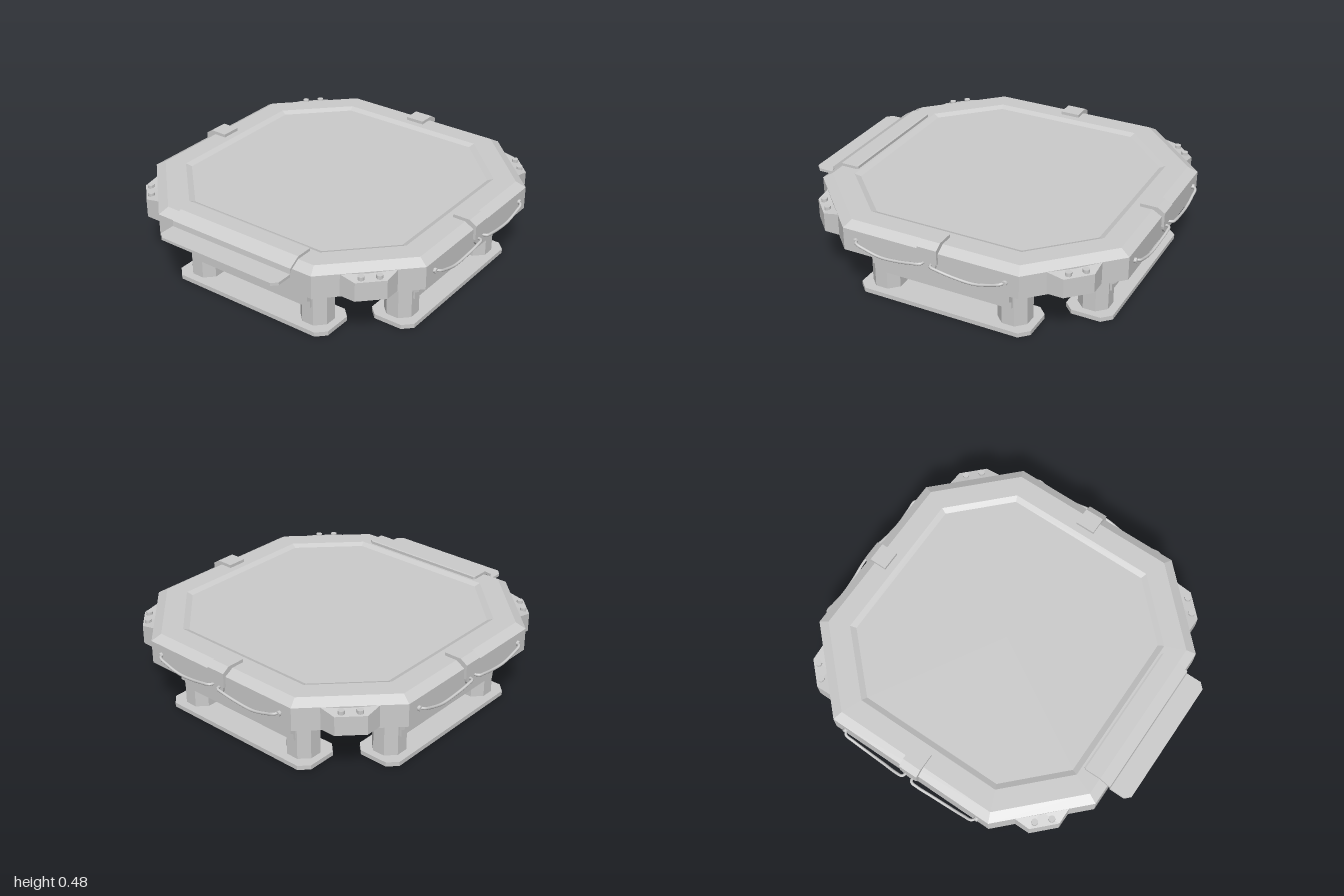
import * as THREE from 'three';

const material = new THREE.MeshStandardMaterial({ color: 0xcccccc, flatShading: true });
const smooth = new THREE.MeshStandardMaterial({ color: 0xcccccc });

function add(parent, name, geometry, mat = material) {
  const mesh = new THREE.Mesh(geometry, mat);
  mesh.name = name;
  parent.add(mesh);
  return mesh;
}

// Skin over a stack of convex rings, both ends closed at their centres.
function loft(rings) {
  const n = rings[0].length;
  const mean = (r) => {
    const c = r.reduce((s, p) => s.map((v, k) => v + p[k] / n), [0, 0, 0]);
    return r.map(() => c);
  };
  const all = [mean(rings[0]), ...rings, mean(rings[rings.length - 1])];
  const index = [];
  for (let r = 0; r < all.length - 1; r++) {
    for (let i = 0; i < n; i++) {
      const j = (i + 1) % n;
      const a = r * n + i, b = r * n + j, c = a + n, d = b + n;
      if (r > 0) index.push(a, b, d); // no first triangle on the collapsed start
      if (r < all.length - 2) index.push(a, d, c); // nor second on the collapsed end
    }
  }
  const g = new THREE.BufferGeometry();
  g.setAttribute('position', new THREE.Float32BufferAttribute(all.flat(2), 3));
  g.setIndex(index);
  const out = g.toNonIndexed();
  out.computeVertexNormals();
  return out;
}

// Octagon with half size h and half side s at height y.
const octagon = (h, s, y) => [
  [h, s], [h, -s], [s, -h], [-s, -h], [-h, -s], [-h, s], [-s, h], [s, h],
].map(([x, z]) => [x, y, z]);

// Outline in (z, y), extruded along x and centred.
function extrudeX(points, width) {
  const shape = new THREE.Shape(points.map((p) => new THREE.Vector2(...p)));
  return new THREE.ExtrudeGeometry(shape, { depth: width, bevelEnabled: false })
    .translate(0, 0, -width / 2).rotateY(-Math.PI / 2);
}

// Outline in (x, z) seen from above, as a slab from y0 to y1.
function slab(points, y0, y1) {
  const shape = new THREE.Shape(points.map(([x, z]) => new THREE.Vector2(x, -z)));
  return new THREE.ExtrudeGeometry(shape, { depth: y1 - y0, bevelEnabled: false })
    .rotateX(-Math.PI / 2).translate(0, y0, 0);
}

// Two posts joined by a rail on a long foot.
function addSupport(side) {
  const L = 0.505, c = 0.05, zi = 0.557, zo = 0.822;
  add(side, 'foot', slab([
    [-L + c, zo], [L - c, zo], [L, zo - c], [L, zi + c],
    [L - c, zi], [-L + c, zi], [-L, zi + c], [-L, zo - c],
  ], 0, 0.025));
  for (const sx of [-1, 1]) {
    const post = add(side, 'post', new THREE.CylinderGeometry(0.093, 0.093, 0.255, 8).rotateY(Math.PI / 8));
    post.position.set(sx * 0.378, 0.1475, 0.69);
  }
  add(side, 'rail', extrudeX([
    [0.73, 0.135], [0.787, 0.135], [0.787, 0.175], [0.81, 0.19], [0.81, 0.23], [0.73, 0.23],
  ], 0.805));
}

// Edge clamp with a hook below it and a hanging cable to each side.
function addClamp(side) {
  add(side, 'clamp', extrudeX([
    [0.785, 0.455], [0.785, 0.478], [0.885, 0.478], [0.925, 0.452],
    [0.925, 0.37], [0.89, 0.37], [0.89, 0.43],
  ], 0.112));
  const hook = add(side, 'hookPlate', new THREE.CylinderGeometry(0.05, 0.05, 0.03, 16).rotateX(Math.PI / 2));
  hook.position.set(0, 0.368, 0.908);
  for (const sx of [-1, 1]) {
    const path = [
      [0.02, 0.365, 0.91], [0.03, 0.366, 0.944], [0.07, 0.36, 0.948], [0.16, 0.342, 0.942],
      [0.27, 0.334, 0.937], [0.36, 0.354, 0.936], [0.415, 0.372, 0.932], [0.43, 0.374, 0.9],
    ].map(([x, y, z]) => new THREE.Vector3(sx * x, y, z));
    add(side, 'cable', new THREE.TubeGeometry(new THREE.CatmullRomCurve3(path), 40, 0.008, 8), smooth);
    const eye = add(side, 'cableEye', new THREE.CylinderGeometry(0.014, 0.014, 0.025, 10).rotateX(Math.PI / 2));
    eye.position.set(sx * 0.43, 0.374, 0.912);
  }
}

// Bolted bracket on a slanted corner, built facing +z and blending into the deck.
function addBracket(corner) {
  const ring = (y, inner, outer, z, yEdge = y) => [
    [inner, yEdge, 0.9], [-inner, yEdge, 0.9], [-inner, yEdge, Math.min(z, 0.997)], [-outer, y, z],
    [outer, y, z], [inner, yEdge, Math.min(z, 0.997)],
  ];
  add(corner, 'bracket', loft([
    ring(0.272, 0.1, 0.07, 0.925), ring(0.305, 0.148, 0.081, 1.064),
    ring(0.412, 0.148, 0.081, 1.064, 0.43),
  ]));
  for (const sx of [-1, 1]) {
    const bolt = add(corner, 'bolt', new THREE.CylinderGeometry(0.018, 0.018, 0.024, 10));
    bolt.position.set(sx * 0.046, 0.422, 1.036);
  }
}

export function createModel() {
  const model = new THREE.Group();
  model.name = 'platform';
  const base = new THREE.Group();
  base.name = 'base';
  base.position.z = -0.045;
  model.add(base);

  // Deck shell: [inset from the edge, height], from the hollow underside to the sunken top.
  const profile = [
    [0.197, 0.434], [0.165, 0.448], [0.115, 0.448], [0.11, 0.27], [0.085, 0.27],
    [0, 0.3], [0, 0.43], [0.052, 0.46], [0.165, 0.46], [0.197, 0.446],
  ];
  add(base, 'deck', loft(profile.map(([d, y]) => octagon(0.91 - d, 0.505 - d * 0.414, y))));

  for (let k = 0; k < 4; k++) {
    const side = new THREE.Group();
    side.name = 'side';
    side.rotation.y = k * Math.PI / 2;
    addSupport(side);
    if (k > 0) addClamp(side);
    base.add(side);

    const corner = new THREE.Group();
    corner.name = 'corner';
    corner.rotation.y = (k + 0.5) * Math.PI / 2;
    addBracket(corner);
    base.add(corner);
  }

  // Front step: [z, top height, half width] along its bent length.
  const step = [
    [0.713, 0.476, 0.38], [0.722, 0.478, 0.39], [0.815, 0.478, 0.39], [0.879, 0.438, 0.39],
    [0.882, 0.407, 0.39], [0.97, 0.407, 0.39], [1.0, 0.407, 0.36],
  ];
  add(model, 'frontStep', loft(step.map(([z, y, w]) => [
    [w, y - 0.016, z], [w, y, z], [-w, y, z], [-w, y - 0.016, z],
  ])));
  return model;
}
